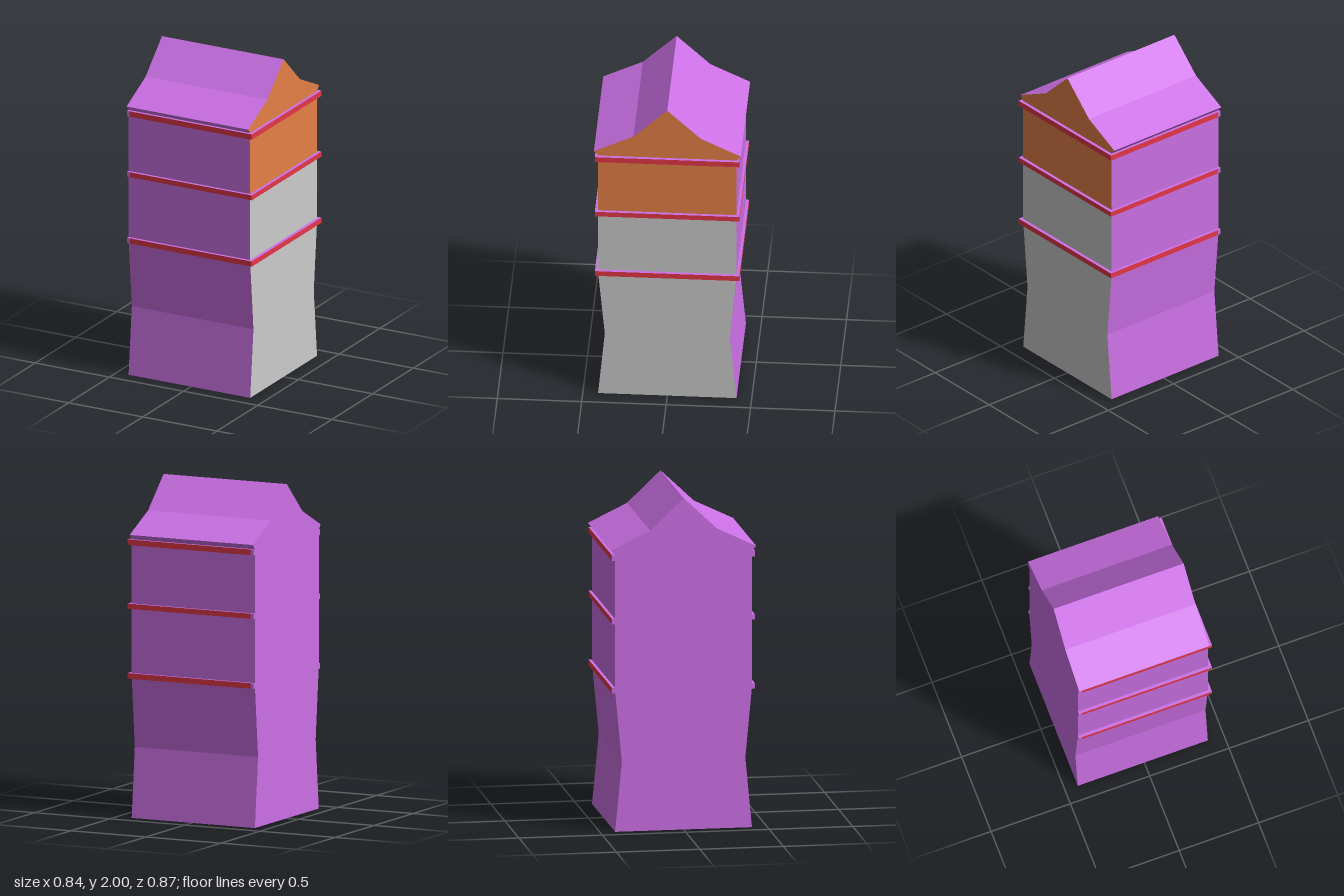
import * as THREE from 'three';

const paint = (color) => new THREE.MeshStandardMaterial({ color, flatShading: true });

// Symmetric outline: half profile of [z, y] points from bottom to top, mirrored
function mirrored(half) {
  const left = half.filter(([z]) => z > 0).reverse().map(([z, y]) => [-z, y]);
  return new THREE.Shape([...half, ...left].map(([z, y]) => new THREE.Vector2(z, y)));
}

// Outline in the z-y plane, extruded from x0 to x1
function slab(name, half, x0, x1, materials) {
  const geo = new THREE.ExtrudeGeometry(mirrored(half), { depth: x1 - x0, bevelEnabled: false });
  geo.rotateY(Math.PI / 2).translate(x0, 0, 0);
  const mesh = new THREE.Mesh(geo, materials);
  mesh.name = name;
  return mesh;
}

function box(name, x0, x1, y0, y1, halfZ, materials) {
  const geo = new THREE.BoxGeometry(x1 - x0, y1 - y0, halfZ * 2);
  geo.translate((x0 + x1) / 2, (y0 + y1) / 2, 0);
  const mesh = new THREE.Mesh(geo, materials);
  mesh.name = name;
  return mesh;
}

export function createModel() {
  const model = new THREE.Group();
  model.name = 'townhouse';
  const purple = paint(0xcc70e6);
  const red = paint(0xe63747);
  const orange = paint(0xe68047);
  const grey = paint(0xcccccc);

  const back = -0.42, inner = 0.39, face = 0.4, split = 1.27;
  const lower = [[0.41, 0], [0.37, 0.42], [0.41, 0.85]];
  const roof = [[0.41, 1.668], [0.435, 1.697], [0.2, 1.81], [0, 2]];

  // Pinched walls and kinked roof in one extrusion
  model.add(slab('body', [...lower, ...roof], back, inner, purple));

  // Coloured facade on the +x side: grey storeys below, orange gable above
  model.add(slab('lowerFacade', [...lower, [0.41, split]], inner, face, [grey, purple]));
  model.add(slab('gableFacade', [[0.41, split], ...roof], inner, face, [orange, purple]));

  // Cornice bands: red outer faces, plain top, underside and rear stub
  for (const [y0, y1] of [[0.835, 0.868], [1.253, 1.284], [1.634, 1.668]]) {
    const band = new THREE.Group();
    band.name = 'corniceBand';
    band.add(box('bandTrim', -0.4, 0.42, y0, y1, 0.428, [red, purple, purple, purple, red, red]));
    band.add(box('bandEnd', back, -0.4, y0, y1, 0.428, purple));
    model.add(band);
  }
  return model;
}
